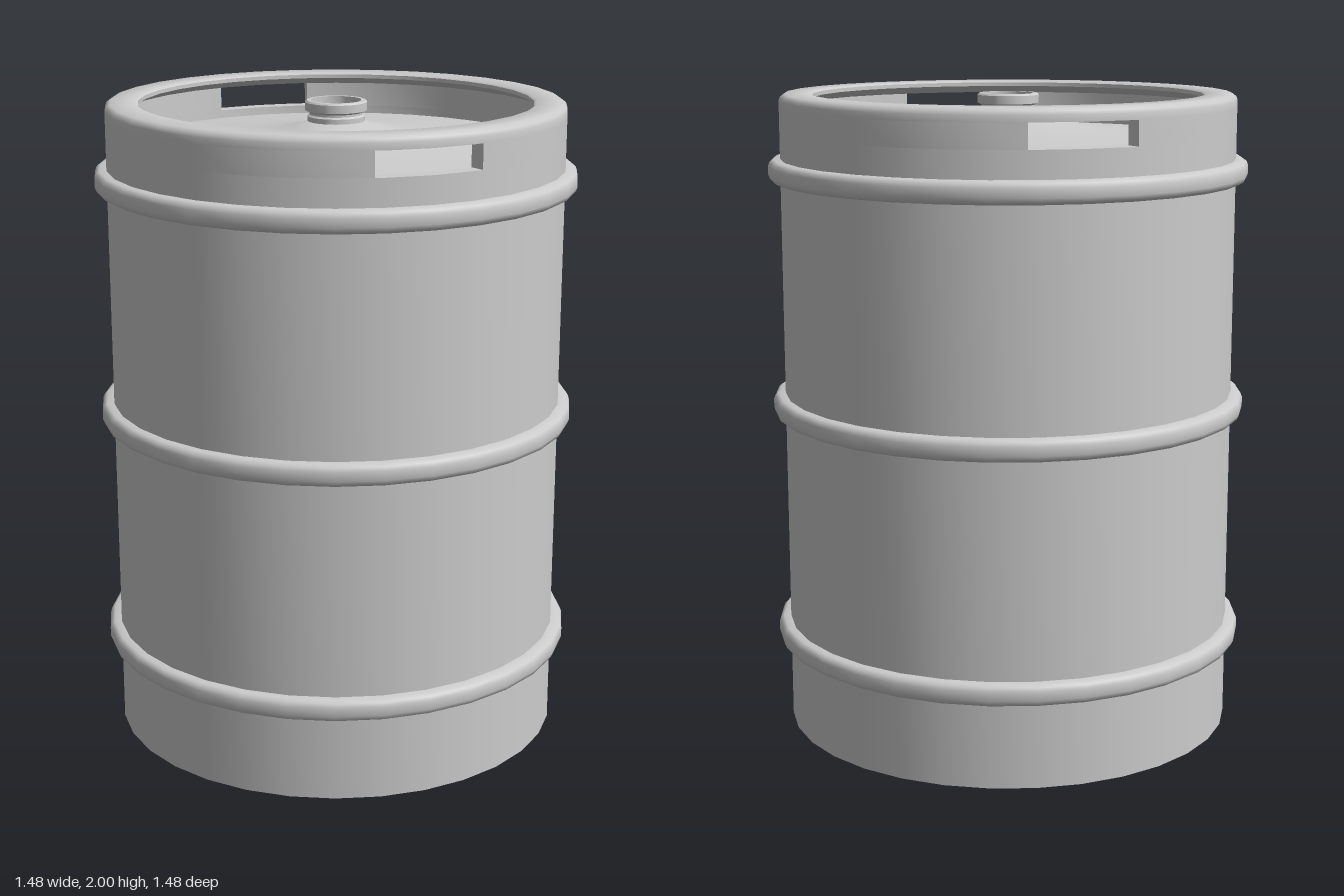
import * as THREE from 'three';
import { toCreasedNormals } from 'three/addons/utils/BufferGeometryUtils.js';

const SIDES = 32;
const STEP = (Math.PI * 2) / SIDES;
const WALL = 0.706; // outer radius of the shell
const INNER = 0.655; // inner radius of the collar
const SLOT_BOTTOM = 1.885, SLOT_TOP = 1.96;
const SLOT_START = THREE.MathUtils.degToRad(37), SLOT_END = THREE.MathUtils.degToRad(64);

const steel = new THREE.MeshStandardMaterial({ color: 0xcccccc });
steel.name = 'brushed steel';

function part(name, geometry, crease = 0.7) {
  const mesh = new THREE.Mesh(toCreasedNormals(geometry, crease), steel);
  mesh.name = name;
  return mesh;
}

// Solid of revolution with a flat facet centred on each axis
function turned(name, profile, crease) {
  const points = profile.map(([r, y]) => new THREE.Vector2(r, y));
  return part(name, new THREE.LatheGeometry(points, SIDES, STEP / 2), crease);
}

// Point on the faceted ring, so that slot ends stay on the flat facets
function ringPoint(angle, radius) {
  const middle = Math.round(angle / STEP) * STEP;
  const r = (radius * Math.cos(STEP / 2)) / Math.cos(angle - middle);
  return new THREE.Vector2(r * Math.sin(angle), -r * Math.cos(angle));
}

// Curved wall between two angles, filling the height of the slots
function collarArc(name, from, to) {
  const angles = [from];
  for (let i = 0; i < SIDES * 2; i++) {
    const a = (i + 0.5) * STEP;
    if (a > from + 0.001 && a < to - 0.001) angles.push(a);
  }
  angles.push(to);
  const outline = [
    ...angles.map((a) => ringPoint(a, WALL)),
    ...angles.slice().reverse().map((a) => ringPoint(a, INNER)),
  ];
  const geometry = new THREE.ExtrudeGeometry(new THREE.Shape(outline), {
    depth: SLOT_TOP - SLOT_BOTTOM, bevelEnabled: false,
  });
  geometry.rotateX(-Math.PI / 2).translate(0, SLOT_BOTTOM, 0);
  return part(name, geometry);
}

export function createModel() {
  const keg = new THREE.Group();
  keg.name = 'keg';

  // Shell with closed base and domed top inside the collar
  keg.add(turned('shell', [
    [0, 0], [WALL, 0], [WALL, SLOT_BOTTOM], [INNER, SLOT_BOTTOM], [INNER, 1.86],
    [0.5, 1.872], [0.35, 1.885], [0.2, 1.905], [0.13, 1.92], [0.09, 1.935], [0, 1.935],
  ]));

  // Collar walls between the two opposite hand slots
  keg.add(collarArc('collarWallRight', SLOT_END, SLOT_START + Math.PI));
  keg.add(collarArc('collarWallLeft', SLOT_END + Math.PI, SLOT_START + Math.PI * 2));

  // Rolled rim above the slots, overhanging inwards
  keg.add(turned('rim', [
    [INNER, SLOT_TOP], [WALL, SLOT_TOP], [WALL, 1.98], [0.702, 1.991], [0.69, 2],
    [0.612, 2], [0.605, 1.995], [0.605, 1.983], [INNER, SLOT_TOP],
  ]));

  // Three raised hoops
  [['lowerHoop', 0.3], ['middleHoop', 1.035], ['upperHoop', 1.768]].forEach(([name, y]) => {
    const hoop = turned(name, [
      [0.695, -0.034], [0.726, -0.034], [0.738, -0.027], [0.743, -0.014], [0.743, 0.014],
      [0.738, 0.026], [0.728, 0.033], [0.695, 0.034],
    ], 0.9);
    hoop.position.y = y;
    keg.add(hoop);
  });

  // Neck with a collar and a recessed mouth
  keg.add(turned('neck', [
    [0.088, 1.9], [0.088, 1.95], [0.082, 1.955], [0.082, 1.962], [0.095, 1.968],
    [0.095, 1.993], [0.09, 1.998], [0.077, 1.998], [0.077, 1.97], [0, 1.97],
  ]));

  return keg;
}
